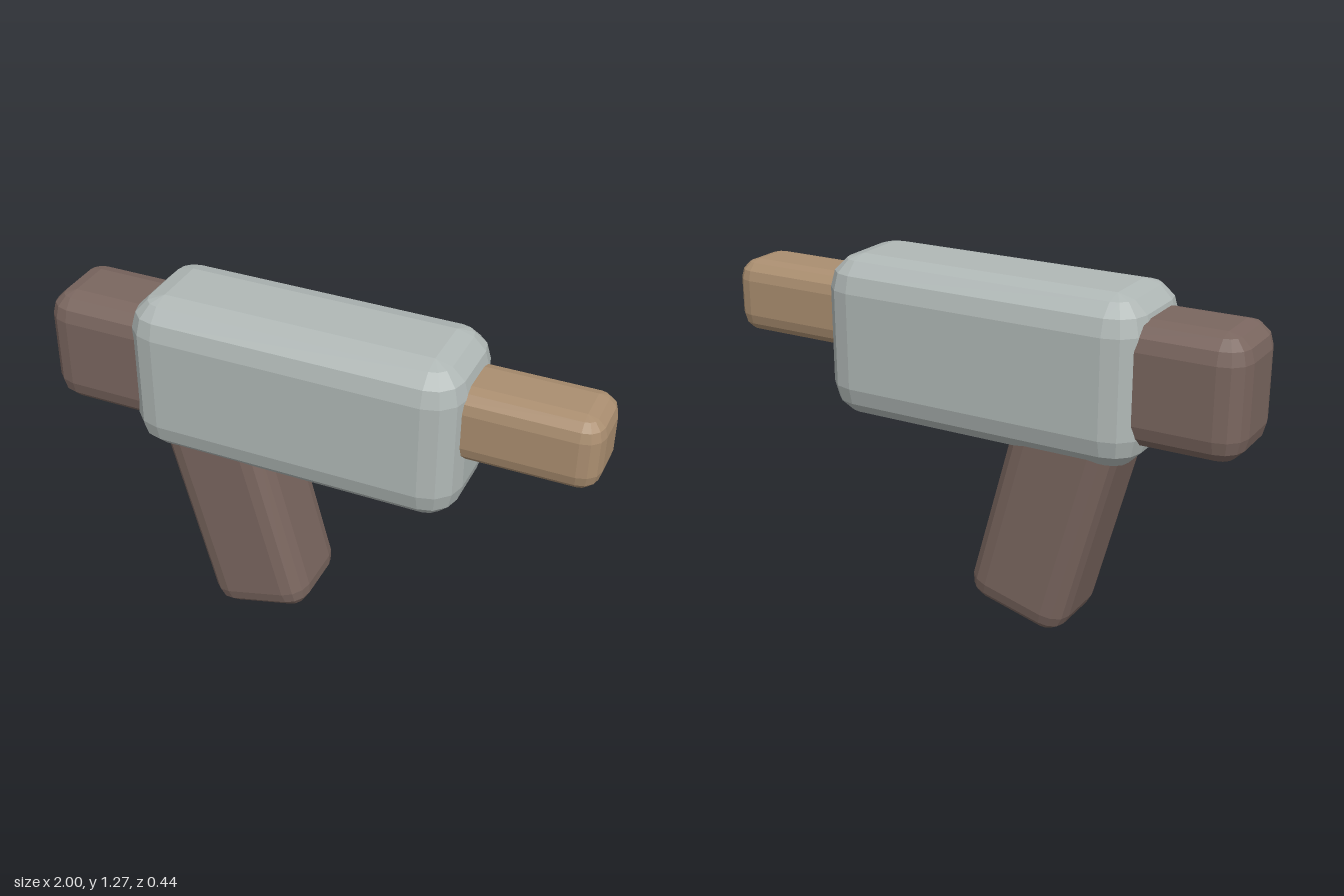
import * as THREE from 'three';

const STEPS = 3; // facets per rounded edge

// Box with evenly stepped rounded edges: a plane wrapped round eight corner octants.
function bevelBox(w, h, d, r) {
  const n = STEPS + 1, cols = 4 * n, rows = 2 * n + 1;
  const geo = new THREE.PlaneGeometry(1, 1, cols, rows);
  const pos = geo.attributes.position;
  const step = Math.PI / 2 / STEPS;
  for (let j = 0; j <= rows; j++) {
    for (let i = 0; i <= cols; i++) {
      const k = j * (cols + 1) + i;
      const top = j <= n;
      // first and last rows close the caps at their centres
      if (j === 0 || j === rows) {
        pos.setXYZ(k, 0, top ? h / 2 : -h / 2, 0);
        continue;
      }
      const q = Math.floor(i / n) % 4;
      const lon = (i - Math.floor(i / n)) * step;
      const lat = Math.PI / 2 - (j - 1 - (top ? 0 : 1)) * step;
      const sx = q < 2 ? 1 : -1, sz = q === 0 || q === 3 ? 1 : -1;
      pos.setXYZ(k,
        sx * (w / 2 - r) + r * Math.cos(lat) * Math.sin(lon),
        (top ? 1 : -1) * (h / 2 - r) + r * Math.sin(lat),
        sz * (d / 2 - r) + r * Math.cos(lat) * Math.cos(lon));
    }
  }
  const flat = geo.toNonIndexed();
  flat.computeVertexNormals();
  return flat;
}

export function createModel() {
  const group = new THREE.Group();
  const paint = (color) => new THREE.MeshStandardMaterial({ color, flatShading: true });
  const grey = paint(0xb0b8b6), brown = paint(0x7a665f), tan = paint(0xaa8e70);

  const add = (name, material, size, radius, center, tilt = 0) => {
    const mesh = new THREE.Mesh(bevelBox(...size, radius), material);
    mesh.name = name;
    mesh.position.set(...center);
    mesh.rotation.z = tilt;
    group.add(mesh);
  };

  add('body', grey, [1.215, 0.59, 0.44], 0.12, [-0.053, 0.975, 0]);
  add('rearBlock', brown, [0.55, 0.43, 0.34], 0.09, [-0.725, 0.98, 0]);
  add('barrel', tan, [0.65, 0.27, 0.266], 0.07, [0.675, 1.04, 0]);
  // grip leans so its foot points forward along +x
  add('grip', brown, [0.39, 0.9, 0.34], 0.08, [-0.298, 0.465, 0], THREE.MathUtils.degToRad(15));

  return group;
}
